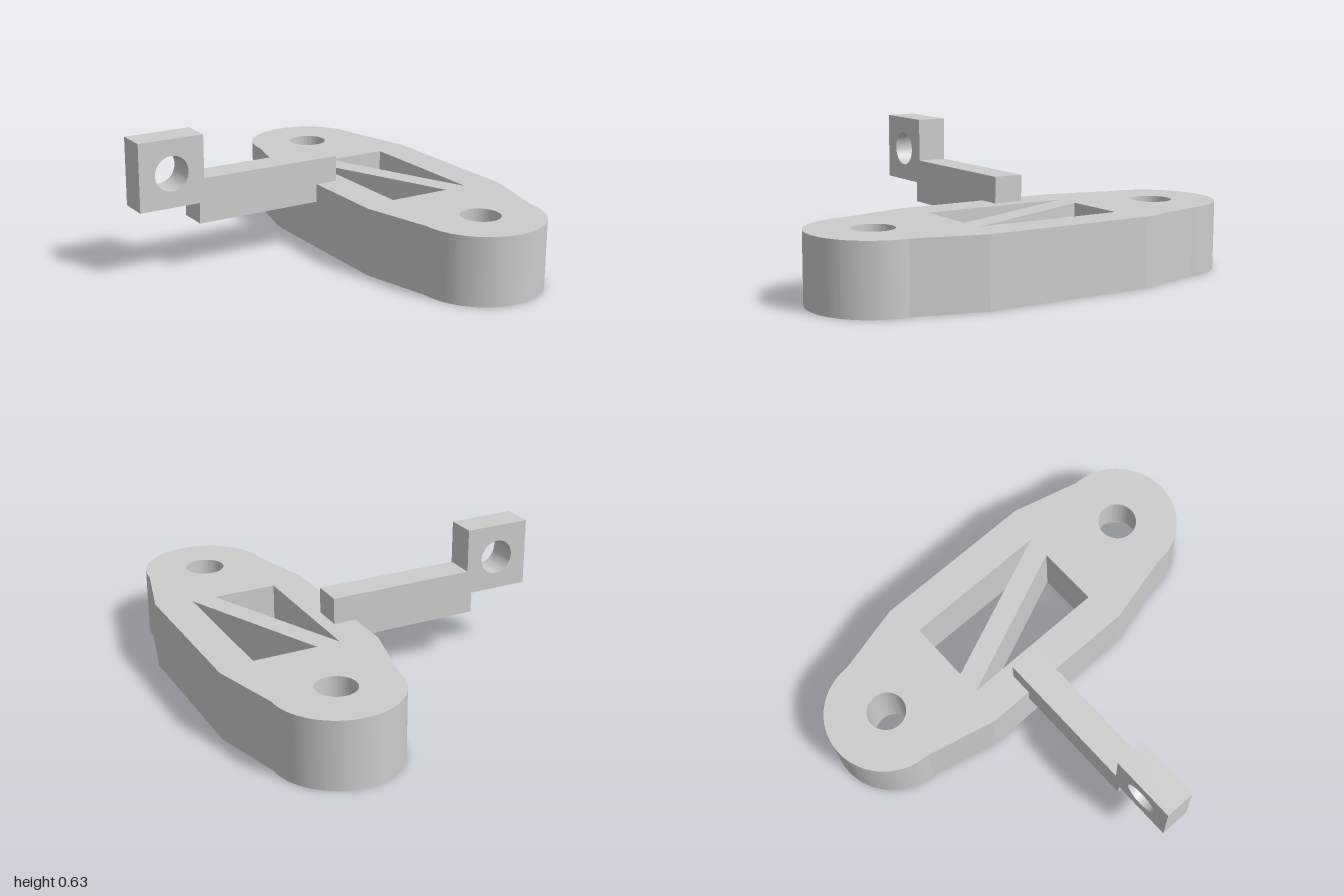
import * as THREE from 'three';
import { toCreasedNormals } from 'three/addons/utils/BufferGeometryUtils.js';

const CX = 0.44, HEIGHT = 0.31, HOLE_Z = 0.715, HOLE_R = 0.09, POCKET = 0.14;

const poly = (Type, pts) => new Type(pts.map(([x, y]) => new THREE.Vector2(x, y)));

const circle = (x, y, r) => new THREE.Path().absarc(x, y, r, 0, Math.PI * 2, true);

// Corners of the nut pocket, with two of them on the x axis
const hexPoints = () => Array.from({ length: 6 }, (_, i) => {
  const a = (i * Math.PI) / 3;
  return [CX + 0.17 * Math.cos(a), HOLE_Z + 0.17 * Math.sin(a)];
});

function extrude(shape, depth) {
  return new THREE.ExtrudeGeometry(shape, { depth, bevelEnabled: false, curveSegments: 48 });
}

// Plan shape (x, z) raised from y0 to y1
function slab(shape, y0, y1) {
  return toCreasedNormals(extrude(shape, y1 - y0).rotateX(Math.PI / 2).translate(0, y1, 0), 0.2);
}

export function createModel() {
  const group = new THREE.Group();
  const grey = new THREE.MeshStandardMaterial({ color: 0xcccccc });
  grey.name = 'plain grey';
  const add = (name, geometry) => {
    const mesh = new THREE.Mesh(geometry, grey);
    mesh.name = name;
    group.add(mesh);
  };

  // Body: rounded ends tapering out to a wider middle
  const body = new THREE.Shape();
  body.moveTo(0.81, -0.39);
  body.lineTo(0.81, 0.39);
  body.lineTo(CX + 0.285, 0.71);
  body.absarc(CX, HOLE_Z, 0.285, 0, Math.PI, false);
  body.lineTo(0.075, 0.39);
  body.lineTo(0.075, -0.39);
  body.lineTo(CX - 0.285, -0.71);
  body.absarc(CX, -HOLE_Z, 0.285, Math.PI, Math.PI * 2, false);
  body.closePath();

  // Bolt hole, pocket opening and the two windows either side of the diagonal brace
  body.holes.push(
    circle(CX, -HOLE_Z, HOLE_R),
    poly(THREE.Path, hexPoints()),
    poly(THREE.Path, [[0.24, -0.35], [0.24, 0.345], [0.535, 0.345]]),
    poly(THREE.Path, [[0.35, -0.35], [0.645, -0.35], [0.645, 0.345]]),
  );
  add('body', slab(body, 0, HEIGHT));

  // Roof of the nut pocket, pierced by the front bolt hole
  const roof = poly(THREE.Shape, hexPoints());
  roof.holes.push(circle(CX, HOLE_Z, HOLE_R));
  add('pocketRoof', slab(roof, POCKET, HEIGHT));

  // Arm: stepped bar with a pierced square head
  const arm = poly(THREE.Shape, [
    [-0.53, 0.225], [0.18, 0.225], [0.18, 0.43], [-0.505, 0.43],
    [-0.505, 0.63], [-0.815, 0.63], [-0.815, 0.32], [-0.53, 0.32],
  ]);
  arm.holes.push(circle(-0.66, 0.475, 0.08));
  add('arm', toCreasedNormals(extrude(arm, 0.14).translate(0, 0, -0.175), 0.2));

  return group;
}
